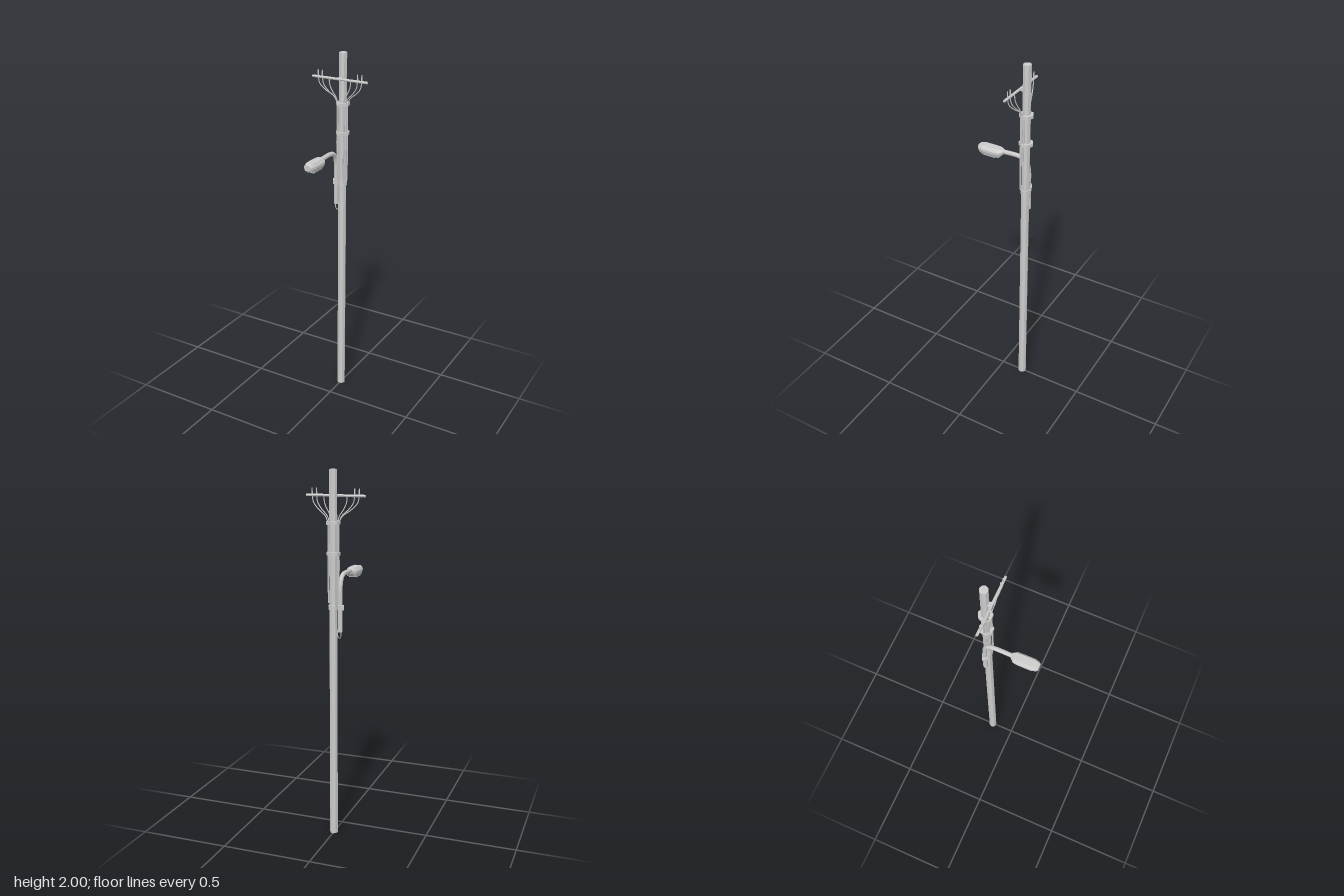
import * as THREE from 'three';

const POLE_Z = -0.132;
const material = new THREE.MeshStandardMaterial({ color: 0xcccccc, side: THREE.DoubleSide });
const flatMaterial = new THREE.MeshStandardMaterial({ color: 0xcccccc, flatShading: true });

function add(parent, name, geometry, x = 0, y = 0, z = 0, mat = flatMaterial) {
  const mesh = new THREE.Mesh(geometry, mat);
  mesh.name = name;
  mesh.position.set(x, y, z);
  parent.add(mesh);
  return mesh;
}

function tube(parent, name, points, radius, segments = 14, sides = 5) {
  const curve = new THREE.CatmullRomCurve3(points.map((p) => new THREE.Vector3(...p)), false, 'centripetal');
  return add(parent, name, new THREE.TubeGeometry(curve, segments, radius, sides), 0, 0, 0, material);
}

// Lamp housing: octagonal rings lofted along z, each [z, halfWidth, bottom, top]
function lampGeometry(rings) {
  const outline = [[1, -0.2], [1, 0.3], [0.6, 1], [-0.6, 1], [-1, 0.3], [-1, -0.2], [-0.75, -1], [0.75, -1]];
  const n = outline.length;
  const pos = [];
  const idx = [];
  for (const [z, w, lo, hi] of rings) {
    for (const [u, v] of outline) pos.push(u * w, (lo + hi) / 2 + v * (hi - lo) / 2, z);
  }
  for (let r = 0; r < rings.length - 1; r++) {
    for (let i = 0; i < n; i++) {
      const a = r * n + i;
      const b = r * n + (i + 1) % n;
      idx.push(a, b, b + n, a, b + n, a + n);
    }
  }
  const last = (rings.length - 1) * n;
  for (let i = 1; i < n - 1; i++) {
    idx.push(0, i + 1, i);
    idx.push(last, last + i, last + i + 1);
  }
  const g = new THREE.BufferGeometry();
  g.setAttribute('position', new THREE.Float32BufferAttribute(pos, 3));
  g.setIndex(idx);
  g.computeVertexNormals();
  return g;
}

export function createModel() {
  const model = new THREE.Group();
  model.name = 'utilityPole';

  // Pole and the bands around it
  add(model, 'pole', new THREE.CylinderGeometry(0.022, 0.023, 2, 8), 0, 1, POLE_Z);
  for (const y of [1.73, 1.572]) {
    const band = add(model, 'cableBand', new THREE.CylinderGeometry(0.038, 0.038, 0.017, 7), 0, y, POLE_Z);
    band.rotation.y = Math.PI;
  }
  add(model, 'lowerBand', new THREE.CylinderGeometry(0.027, 0.027, 0.025, 8), 0, 1.29, POLE_Z);

  // Crossarm with insulator pins
  const arm = add(model, 'crossarm', new THREE.CylinderGeometry(0.007, 0.007, 0.323, 8), -0.001, 1.866, -0.098);
  arm.rotation.z = Math.PI / 2;
  add(model, 'crossarmMount', new THREE.BoxGeometry(0.024, 0.016, 0.018), 0, 1.866, -0.109);
  for (const side of [-1, 1]) {
    for (const x of [0.104, 0.129]) {
      add(model, 'insulatorPin', new THREE.CylinderGeometry(0.003, 0.004, 0.036, 6), side * x, 1.885, -0.098);
    }
  }

  // Drooping cables, gathered at the bands and led down the pole
  for (const side of [-1, 1]) {
    const leads = [
      // [start x, angle around the pole from the front, lower end y]
      [0.129, 1.55, 1.31],
      [0.104, 1.1, 1.45],
      [0.064, 0.6, 1.3],
    ];
    for (const [x, angle, endY] of leads) {
      const px = Math.sin(angle) * 0.028;
      const pz = POLE_Z + Math.cos(angle) * 0.028;
      const mix = (t) => px + (x - px) * t;
      tube(model, 'cable', [
        [side * x, 1.872, -0.098],
        [side * mix(0.92), 1.83, -0.1],
        [side * mix(0.6), 1.795, -0.098 + (pz + 0.098) * 0.4],
        [side * mix(0.2), 1.765, -0.098 + (pz + 0.098) * 0.8],
        [side * px, 1.73, pz],
      ], 0.003);
      tube(model, 'polecable', [
        [side * px, 1.73, pz],
        [side * px, 1.572, pz],
        [side * px * 1.08, 1.5, pz],
        [side * px * 0.95, endY, pz],
      ], 0.0045, 8);
    }
  }

  // Lamp conduit strapped beside the pole
  const lampX = -0.038;
  const conduit = add(model, 'lampConduit', new THREE.CylinderGeometry(0.013, 0.013, 0.15, 8), lampX, 1.235, POLE_Z);
  conduit.rotation.y = Math.PI / 8;
  const clamp = add(model, 'conduitClamp', new THREE.BoxGeometry(0.032, 0.025, 0.028), -0.041, 1.29, POLE_Z);
  clamp.rotation.y = 0.5;
  tube(model, 'wireLoop', [
    [-0.042, 1.165, POLE_Z],
    [-0.041, 1.135, POLE_Z],
    [-0.032, 1.123, POLE_Z],
    [-0.025, 1.135, POLE_Z],
    [-0.025, 1.17, POLE_Z],
  ], 0.0022);

  // Bent lamp arm and lamp head
  tube(model, 'lampArm', [
    [lampX, 1.29, POLE_Z],
    [lampX, 1.4, -0.129],
    [lampX, 1.435, -0.118],
    [lampX, 1.455, -0.098],
    [lampX, 1.463, -0.07],
    [lampX, 1.461, 0.04],
  ], 0.0125, 24, 8);
  add(model, 'lampHead', lampGeometry([
    [0.02, 0.015, 1.449, 1.472],
    [0.038, 0.03, 1.431, 1.475],
    [0.065, 0.032, 1.425, 1.477],
    [0.135, 0.032, 1.427, 1.477],
    [0.157, 0.026, 1.432, 1.475],
    [0.168, 0.018, 1.44, 1.47],
  ]), lampX, 0, 0);
  // Recessed-looking lens under the head
  add(model, 'lampLens', new THREE.BoxGeometry(0.042, 0.008, 0.075), lampX, 1.426, 0.1);

  return model;
}
